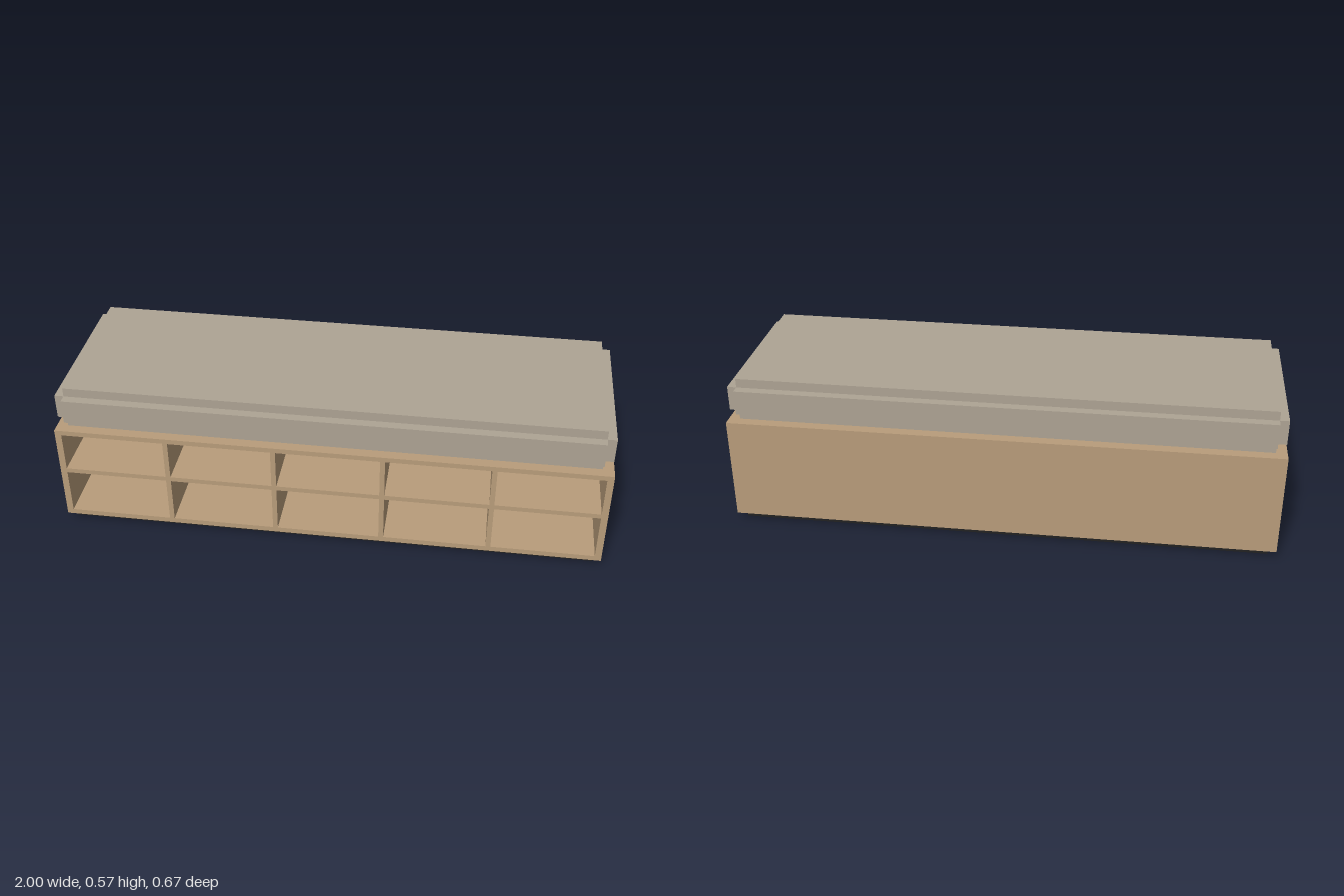
import * as THREE from 'three';

const material = (name, color) => {
  const m = new THREE.MeshStandardMaterial({ color });
  m.name = name;
  return m;
};

export function createModel() {
  const wood = material('wood', 0xb99d7b);
  const fabric = material('fabric', 0xaea494);
  const black = material('black', 0x222222);
  const model = new THREE.Group();
  model.name = 'storageBench';

  const add = (parent, name, geometry, mat) => {
    const mesh = new THREE.Mesh(geometry, mat);
    mesh.name = name;
    parent.add(mesh);
    return mesh;
  };
  // Box centred on x and z, given half sizes and its bottom and top
  const slab = (parent, name, hx, hz, y0, y1, mat) => {
    const mesh = add(parent, name, new THREE.BoxGeometry(hx * 2, y1 - y0, hz * 2), mat);
    mesh.position.y = (y0 + y1) / 2;
    return mesh;
  };
  const rectangle = (path, x0, y0, x1, y1) =>
    path.moveTo(x0, y0).lineTo(x1, y0).lineTo(x1, y1).lineTo(x0, y1).closePath();

  // Recessed plinth
  slab(model, 'plinth', 0.972, 0.306, 0, 0.028, black);

  // Carcass: five by two open compartments, closed by a back panel
  const halfDepth = 0.333, backThickness = 0.016;
  const face = rectangle(new THREE.Shape(), -1, 0.028, 1, 0.413);
  for (let column = -2; column <= 2; column++) {
    const x = column * 0.394;
    for (const [y0, y1] of [[0.048, 0.225], [0.243, 0.394]]) {
      face.holes.push(rectangle(new THREE.Path(), x - 0.188, y0, x + 0.188, y1));
    }
  }
  const shell = new THREE.ExtrudeGeometry(face, {
    depth: halfDepth * 2 - backThickness, bevelEnabled: false,
  });
  add(model, 'compartments', shell, wood).position.z = -halfDepth + backThickness;
  const back = add(model, 'backPanel', new THREE.BoxGeometry(2, 0.385, backThickness), wood);
  back.position.set(0, 0.2205, -halfDepth + backThickness / 2);

  // Seat cushion: a core with a stepped band, notched at the corners
  const cushion = new THREE.Group();
  cushion.name = 'cushion';
  model.add(cushion);
  slab(cushion, 'cushionCore', 0.96, 0.294, 0.413, 0.574, fabric);
  slab(cushion, 'cushionFrontBackBand', 0.96, 0.327, 0.448, 0.54, fabric);
  slab(cushion, 'cushionSideBand', 0.994, 0.294, 0.448, 0.54, fabric);

  return model;
}
